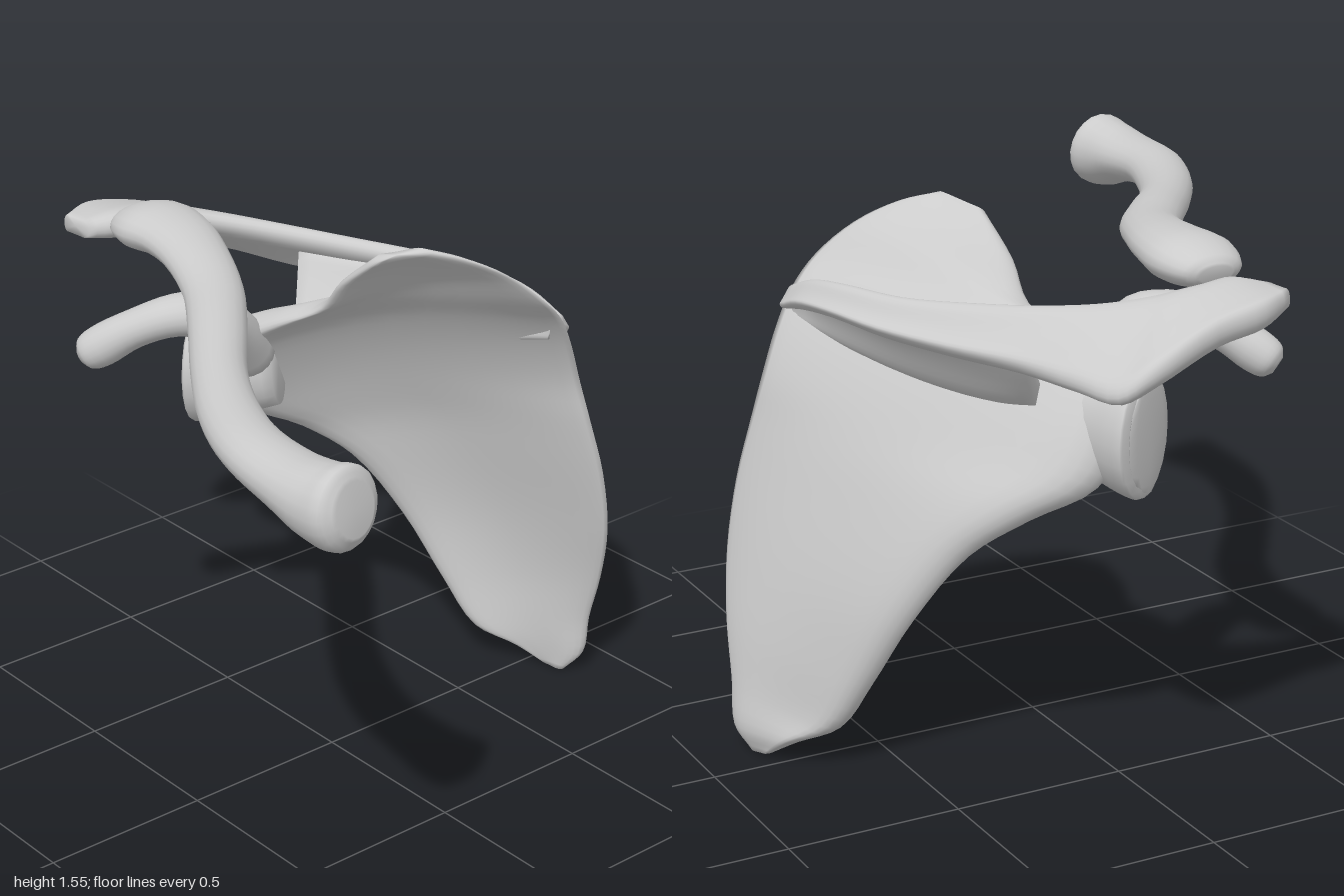
import * as THREE from 'three';

const V = (x, y, z) => new THREE.Vector3(x, y, z);
const material = new THREE.MeshStandardMaterial({ color: 0xcccccc, roughness: 0.8 });

// Smooth a list of points with a spline, keeping the points on the curve
const refine = (pts, closed, k) => {
  const curve = new THREE.CatmullRomCurve3(pts, closed);
  const n = (closed ? pts.length : pts.length - 1) * k;
  return Array.from({ length: closed ? n : n + 1 }, (_, i) => curve.getPoint(i / n));
};

// Skin a series of closed rings and cap both ends
function loft(name, rings) {
  const around = rings.map((r) => refine(r, true, 2));
  const n = around[0].length;
  const lines = around[0].map((_, j) => refine(around.map((r) => r[j]), false, 4));
  const m = lines[0].length;
  const pos = [], idx = [];
  for (let i = 0; i < m; i++) for (let j = 0; j < n; j++) pos.push(...lines[j][i].toArray());
  for (let i = 0; i < m - 1; i++) {
    for (let j = 0; j < n; j++) {
      const a = i * n + j, b = i * n + (j + 1) % n;
      idx.push(a, b, a + n, b, b + n, a + n);
    }
  }
  for (const end of [0, m - 1]) {
    const c = V(0, 0, 0);
    for (let j = 0; j < n; j++) c.addScaledVector(lines[j][end], 1 / n);
    const ci = pos.length / 3;
    pos.push(...c.toArray());
    for (let j = 0; j < n; j++) {
      const a = end * n + j, b = end * n + (j + 1) % n;
      if (end) idx.push(a, b, ci); else idx.push(b, a, ci);
    }
  }
  // Turn the faces outward
  const p = (i) => V(pos[3 * i], pos[3 * i + 1], pos[3 * i + 2]);
  let volume = 0;
  for (let i = 0; i < idx.length; i += 3) volume += p(idx[i]).dot(p(idx[i + 1]).cross(p(idx[i + 2])));
  if (volume < 0) idx.reverse();
  const g = new THREE.BufferGeometry();
  g.setAttribute('position', new THREE.Float32BufferAttribute(pos, 3));
  g.setIndex(idx);
  g.computeVertexNormals();
  const mesh = new THREE.Mesh(g, material);
  mesh.name = name;
  return mesh;
}

// Rod: stations [x, y, z, half width, half height] along a path
function rod(name, stations) {
  const c = stations.map((s) => V(s[0], s[1], s[2]));
  return loft(name, stations.map((s, i) => {
    const t = c[Math.min(i + 1, c.length - 1)].clone().sub(c[Math.max(i - 1, 0)]).normalize();
    const side = V(0, 1, 0).cross(t).normalize();
    const up = t.clone().cross(side);
    return Array.from({ length: 10 }, (_, k) => {
      const a = (k / 10) * Math.PI * 2;
      return c[i].clone().addScaledVector(side, Math.cos(a) * s[3]).addScaledVector(up, Math.sin(a) * s[4]);
    });
  }));
}

// Plate: rows [edge A, edge B, bow, half thickness at A, half thickness at B]
function plate(name, rows) {
  const us = [0.03, 0.1, 0.22, 0.4, 0.6, 0.8, 0.95];
  const ends = rows.map(([a, b]) => [V(...a), V(...b)]);
  const mid = ends.map(([a, b]) => a.clone().lerp(b, 0.5));
  return loft(name, rows.map(([, , bow, ta, tb], i) => {
    const [a, b] = ends[i];
    const dir = mid[Math.min(i + 1, mid.length - 1)].clone().sub(mid[Math.max(i - 1, 0)]);
    const n = b.clone().sub(a).cross(dir).normalize();
    const at = (u, s) => {
      const h = THREE.MathUtils.lerp(tb, ta, Math.max(0, 1 - u / 0.4) ** 1.3);
      const round = u < 0.05 || u > 0.94 ? 0.65 : 1;
      return a.clone().lerp(b, u).addScaledVector(n, bow * 4 * u * (1 - u) + s * h * round);
    };
    return [a, ...us.map((u) => at(u, 1)), b, ...us.slice().reverse().map((u) => at(u, -1))];
  }));
}

export function createModel() {
  const model = new THREE.Group();
  model.name = 'shoulderBones';

  const collarbone = rod('collarbone', [
    [-0.73, 1.465, 0.14, 0.05, 0.025],
    [-0.71, 1.47, 0.14, 0.09, 0.045],
    [-0.62, 1.48, 0.14, 0.125, 0.066],
    [-0.5, 1.485, 0.15, 0.112, 0.06],
    [-0.36, 1.475, 0.19, 0.095, 0.055],
    [-0.18, 1.45, 0.27, 0.085, 0.056],
    [0, 1.43, 0.395, 0.08, 0.06],
    [0.2, 1.41, 0.545, 0.075, 0.06],
    [0.4, 1.4, 0.665, 0.082, 0.06],
    [0.6, 1.4, 0.745, 0.09, 0.062],
    [0.78, 1.39, 0.765, 0.1, 0.075],
    [0.9, 1.38, 0.765, 0.107, 0.103],
    [0.965, 1.385, 0.757, 0.108, 0.108],
    [0.99, 1.39, 0.752, 0.07, 0.07],
  ]);

  const shoulderBlade = new THREE.Group();
  shoulderBlade.name = 'shoulderBlade';

  // Thin triangular body: outer border to inner border, from the lower tip up
  const body = plate('bladeBody', [
    [[0.05, 0.01, -0.81], [0.12, 0.0, -0.83], 0, 0.015, 0.015],
    [[-0.03, 0.065, -0.76], [0.17, 0.07, -0.86], -0.01, 0.035, 0.03],
    [[-0.12, 0.125, -0.67], [0.19, 0.2, -0.86], -0.02, 0.045, 0.025],
    [[-0.2, 0.27, -0.61], [0.24, 0.36, -0.85], -0.035, 0.045, 0.02],
    [[-0.3, 0.48, -0.53], [0.29, 0.55, -0.82], -0.045, 0.045, 0.018],
    [[-0.4, 0.68, -0.41], [0.3, 0.75, -0.78], -0.05, 0.05, 0.018],
    [[-0.5, 0.79, -0.28], [0.28, 0.92, -0.74], -0.055, 0.06, 0.018],
    [[-0.58, 0.88, -0.12], [0.26, 1.05, -0.71], -0.06, 0.08, 0.018],
    [[-0.57, 1.0, -0.04], [0.27, 1.18, -0.66], -0.06, 0.085, 0.018],
    [[-0.5, 1.13, 0.0], [0.29, 1.28, -0.6], -0.06, 0.07, 0.018],
    [[-0.34, 1.22, -0.05], [0.305, 1.36, -0.52], -0.06, 0.04, 0.016],
    [[-0.2, 1.29, -0.12], [0.26, 1.45, -0.42], -0.045, 0.022, 0.015],
    [[-0.11, 1.39, -0.12], [0.2, 1.51, -0.31], -0.025, 0.018, 0.015],
    [[0.02, 1.5, -0.14], [0.13, 1.54, -0.22], 0, 0.015, 0.012],
  ]);

  // Ridge rim that widens into the flat shoulder tip
  const crest = plate('ridgeCrestAndShoulderTip', [
    [[0.27, 1.23, -0.64], [0.27, 1.29, -0.6], 0, 0.012, 0.012],
    [[0.15, 1.26, -0.64], [0.15, 1.33, -0.585], 0, 0.025, 0.02],
    [[0, 1.27, -0.615], [0, 1.35, -0.56], 0, 0.035, 0.025],
    [[-0.2, 1.26, -0.56], [-0.2, 1.355, -0.49], 0, 0.04, 0.028],
    [[-0.41, 1.25, -0.465], [-0.38, 1.37, -0.38], 0, 0.04, 0.03],
    [[-0.62, 1.25, -0.375], [-0.56, 1.39, -0.25], 0, 0.035, 0.032],
    [[-0.82, 1.25, -0.325], [-0.68, 1.41, -0.13], 0, 0.03, 0.036],
    [[-0.96, 1.25, -0.28], [-0.74, 1.43, -0.03], 0, 0.03, 0.04],
    [[-0.995, 1.3, -0.2], [-0.76, 1.44, 0.02], 0, 0.035, 0.04],
    [[-0.975, 1.38, 0], [-0.76, 1.44, 0.08], 0, 0.04, 0.04],
    [[-0.97, 1.41, 0.14], [-0.75, 1.44, 0.16], 0, 0.04, 0.04],
    [[-0.91, 1.43, 0.25], [-0.8, 1.43, 0.24], 0, 0.025, 0.025],
  ]);

  // Wall joining the rim to the body
  const wall = plate('ridgeWall', [
    [[0.25, 1.26, -0.61], [0.23, 1.2, -0.61], 0, 0.015, 0.015],
    [[0, 1.31, -0.585], [0.02, 1.15, -0.52], 0, 0.03, 0.022],
    [[-0.2, 1.31, -0.525], [-0.17, 1.1, -0.4], 0, 0.035, 0.025],
    [[-0.4, 1.31, -0.42], [-0.34, 1.07, -0.26], 0, 0.035, 0.03],
    [[-0.54, 1.32, -0.33], [-0.4, 1.07, -0.19], 0.01, 0.03, 0.03],
  ]);

  // Neck and shallow joint socket; the last rings dip inward
  const socket = rod('jointSocket', [
    [-0.4, 1.03, -0.13, 0.06, 0.11],
    [-0.5, 1.02, -0.065, 0.095, 0.145],
    [-0.585, 1.015, -0.012, 0.132, 0.172],
    [-0.612, 1.015, 0.005, 0.132, 0.175],
    [-0.618, 1.015, 0.009, 0.112, 0.15],
    [-0.6, 1.015, -0.003, 0.055, 0.075],
  ]);

  // Hooked process pointing forward
  const hook = rod('hookProcess', [
    [-0.46, 1.08, -0.06, 0.09, 0.08],
    [-0.425, 1.19, 0.03, 0.09, 0.075],
    [-0.4, 1.265, 0.115, 0.08, 0.072],
    [-0.44, 1.278, 0.21, 0.07, 0.06],
    [-0.51, 1.24, 0.3, 0.06, 0.055],
    [-0.575, 1.185, 0.37, 0.06, 0.06],
    [-0.605, 1.16, 0.4, 0.05, 0.05],
    [-0.617, 1.15, 0.412, 0.025, 0.025],
  ]);

  shoulderBlade.add(body, crest, wall, socket, hook);
  model.add(collarbone, shoulderBlade);
  return model;
}
